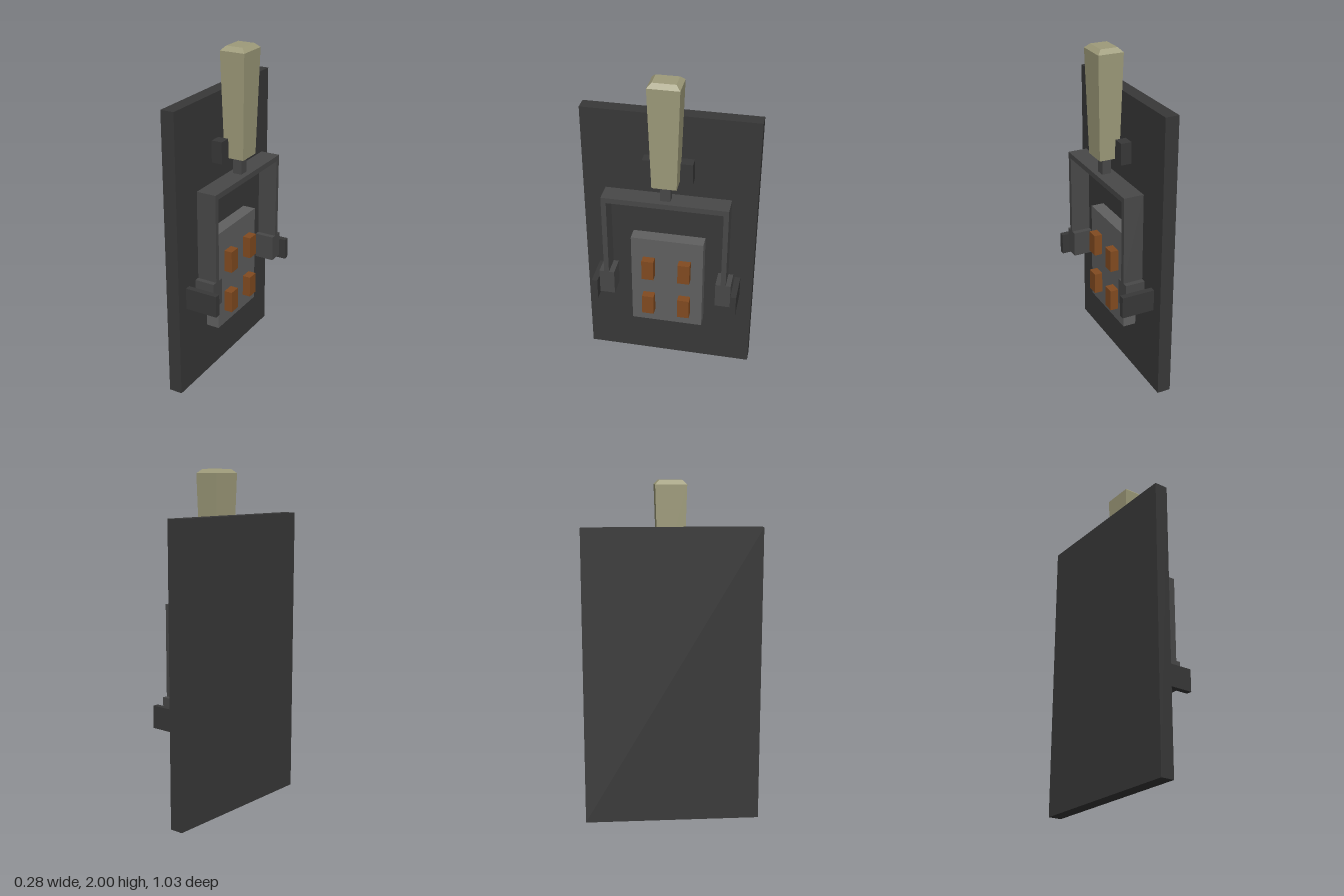
import * as THREE from 'three';

const mat = (color) => new THREE.MeshStandardMaterial({ color, flatShading: true });

export function createModel() {
  const group = new THREE.Group();
  const dark = mat(0x383838), steel = mat(0x484848), grey = mat(0x606060);
  const copper = mat(0x824b20), ivory = mat(0x9e9b7a);

  const add = (name, geometry, material) => {
    const mesh = new THREE.Mesh(geometry, material);
    mesh.name = name;
    group.add(mesh);
    return mesh;
  };

  // Box given by its limits on each axis
  const box = (name, material, [x0, x1], [y0, y1], [z0, z1]) =>
    add(name, new THREE.BoxGeometry(x1 - x0, y1 - y0, z1 - z0), material)
      .position.set((x0 + x1) / 2, (y0 + y1) / 2, (z0 + z1) / 2);

  // The same box on both sides of z = 0
  const pair = (name, material, x, y, [z0, z1]) => {
    box(name + 'Left', material, x, y, [z0, z1]);
    box(name + 'Right', material, x, y, [-z1, -z0]);
  };

  // Block with sloping sides: half widths at the bottom and top
  const taper = (name, material, cx, [y0, y1], [bx, bz], [tx, tz]) => {
    const geometry = new THREE.BoxGeometry(2, y1 - y0, 2);
    const p = geometry.attributes.position;
    for (let i = 0; i < p.count; i++) {
      const top = p.getY(i) > 0;
      p.setX(i, p.getX(i) * (top ? tx : bx));
      p.setZ(i, p.getZ(i) * (top ? tz : bz));
    }
    geometry.computeVertexNormals();
    add(name, geometry, material).position.set(cx, (y0 + y1) / 2, 0);
  };

  // Wall plate, contact block and its four contacts
  box('backPlate', dark, [-0.142, -0.06], [0, 1.74], [-0.517, 0.517]);
  box('contactBlock', grey, [-0.06, 0.02], [0.318, 0.938], [-0.22, 0.22]);
  pair('lowerContact', copper, [0.02, 0.07], [0.405, 0.537], [0.074, 0.147]);
  pair('upperContact', copper, [0.02, 0.07], [0.672, 0.806], [0.074, 0.147]);

  // Pivot brackets and upper catches on the plate
  pair('pivotBracket', dark, [-0.06, 0.14], [0.54, 0.672], [0.407, 0.442]);
  pair('catch', dark, [-0.06, 0.006], [1.343, 1.474], [0.074, 0.147]);

  // Lever frame: one arch with a hinge foot on each arm
  const arch = new THREE.Shape();
  [[-0.372, 0.72], [-0.342, 0.72], [-0.342, 1.22], [0.342, 1.22],
    [0.342, 0.72], [0.372, 0.72], [0.372, 1.253], [-0.372, 1.253]]
    .forEach(([z, y], i) => (i ? arch.lineTo(z, y) : arch.moveTo(z, y)));
  const frame = add('leverFrame',
    new THREE.ExtrudeGeometry(arch, { depth: 0.12, bevelEnabled: false }), steel);
  frame.rotation.y = Math.PI / 2;
  frame.position.x = -0.02;
  pair('hingeFoot', steel, [-0.02, 0.1], [0.562, 0.72], [0.31, 0.402]);

  // Stem and tapered handle with a bevelled top
  box('stem', steel, [0.012, 0.066], [1.253, 1.37], [-0.03, 0.03]);
  taper('handle', ivory, 0.04, [1.357, 1.975], [0.061, 0.072], [0.076, 0.091]);
  taper('handleTop', ivory, 0.04, [1.975, 2], [0.076, 0.091], [0.051, 0.066]);

  return group;
}
